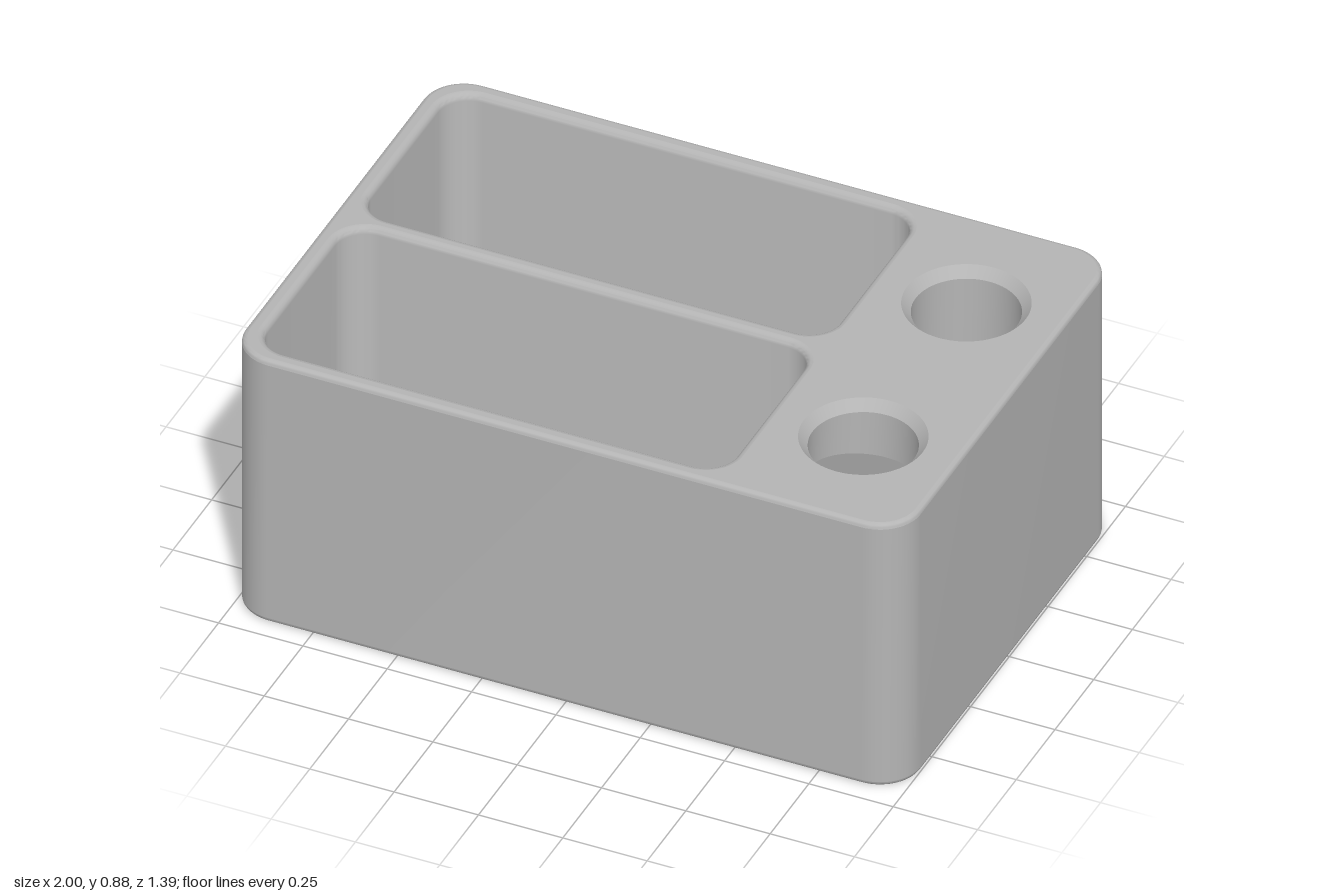
import * as THREE from 'three';
import { toCreasedNormals } from 'three/addons/utils/BufferGeometryUtils.js';

const W = 1, D = 0.693, H = 0.875, R = 0.12, ARC = 16;
const BEVEL = 0.015;
const HOLE_X = 0.72, DRAIN_X = -0.25, LANE_Z = 0.333;

// Rounded rectangle seen from above, as [x, z] points
function roundedLoop(x0, x1, z0, z1, r, inset = 0) {
  const pts = [];
  const centres = [[x1 - r, z1 - r], [x0 + r, z1 - r], [x0 + r, z0 + r], [x1 - r, z0 + r]];
  centres.forEach(([cx, cz], k) => {
    for (let i = 0; i <= ARC; i++) {
      const a = (k + i / ARC) * Math.PI / 2;
      pts.push([cx + (r - inset) * Math.cos(a), cz + (r - inset) * Math.sin(a)]);
    }
  });
  return pts;
}

function circleLoop(cx, cz, r, n = 64) {
  return Array.from({ length: n }, (_, i) => {
    const a = i / n * Math.PI * 2;
    return [cx + r * Math.cos(a), cz + r * Math.sin(a)];
  });
}

// Surface through rows of equally many [x, y, z] points
function surface(rows, closed = false) {
  const n = rows[0].length, index = [];
  for (let r = 0; r < rows.length - 1; r++) {
    for (let c = 0; c < (closed ? n : n - 1); c++) {
      const a = r * n + c, b = r * n + (c + 1) % n;
      index.push(a, a + n, b, b, a + n, b + n);
    }
  }
  const g = new THREE.BufferGeometry();
  g.setAttribute('position', new THREE.Float32BufferAttribute(rows.flat(2), 3));
  g.setIndex(index);
  return toCreasedNormals(g, 0.6);
}

const atHeight = (loop, y) => loop.map(([x, z]) => [x, typeof y === 'function' ? y(z) : y, z]);
const toPath = (pts, C) => new C(pts.map(([a, b]) => new THREE.Vector2(a, b)));

// Horizontal (or tilted) plate with holes
function plate(outline, holes, y, up = true) {
  const shape = toPath(outline, THREE.Shape);
  shape.holes = holes.map((h) => toPath(h, THREE.Path));
  const g = new THREE.ShapeGeometry(shape);
  const p = g.attributes.position;
  for (let i = 0; i < p.count; i++) {
    const z = p.getY(i);
    p.setXYZ(i, p.getX(i), typeof y === 'function' ? y(z) : y, z);
  }
  if (up) g.index.array.reverse();
  g.computeVertexNormals();
  return g;
}

export function createModel() {
  const group = new THREE.Group();
  const grey = new THREE.MeshStandardMaterial({ color: 0xb4b4b4, side: THREE.DoubleSide });
  grey.name = 'plain grey';
  const add = (name, geometry) => {
    const m = new THREE.Mesh(geometry, grey);
    m.name = name;
    group.add(m);
  };
  const body = (inset) => roundedLoop(-W, W, -D, D, R, inset);
  const yLow = BEVEL, yHigh = H - BEVEL;

  // Rounded top and bottom edges
  const steps = [0, 0.25, 0.5, 0.75, 1].map((t) => t * Math.PI / 2);
  add('bottomEdge', surface(steps.map((a) =>
    atHeight(body(BEVEL * (1 - Math.sin(a))), BEVEL * (1 - Math.cos(a)))), true));
  add('topEdge', surface(steps.map((a) =>
    atHeight(body(BEVEL * (1 - Math.cos(a))), yHigh + BEVEL * Math.sin(a))), true));

  // Outlet columns across the back, running round the corner
  const loop = body(0), cut = 3 * (ARC + 1) + 10;
  const xa = loop[cut][0], xb = 0.47, mid = (xa + xb) / 2, half = (xa - xb) / 2;
  const outY0 = 0.018, outY1 = 0.585, outR = 0.11;
  const backZ = (x) => (x > W - R ? -(D - R) - Math.sqrt(R * R - (x - W + R) ** 2) : -D);
  const columns = Array.from({ length: 41 }, (_, i) => {
    const x = mid + half * Math.cos(i / 40 * Math.PI);
    const d = Math.min(xa - x, x - xb);
    const off = d < outR ? outR - Math.sqrt(Math.max(0, outR ** 2 - (outR - d) ** 2)) : 0;
    return { x, z: backZ(x), lo: outY0 + off, hi: outY1 - off };
  }).reverse();

  // Outer walls, with the outlet left open
  const around = [...loop.slice(cut), ...loop.slice(0, 3 * (ARC + 1)), [xb, -D]];
  add('outerWall', surface([atHeight(around, yLow), atHeight(around, yHigh)]));
  add('wallAboveOutlet', surface([
    columns.map((c) => [c.x, c.hi, c.z]), columns.map((c) => [c.x, yHigh, c.z])]));
  add('wallBelowOutlet', surface([
    columns.map((c) => [c.x, yLow, c.z]), columns.map((c) => [c.x, c.lo, c.z])]));

  // Flared outlet rim, from the outer wall in to the chute
  const inX0 = 0.54, inX1 = 0.94, inY0 = 0.09, inY1 = 0.515, inZ = -0.64;
  const rim = [...columns.map((c) => [c.x, c.hi, c.z]),
    ...columns.slice().reverse().map((c) => [c.x, c.lo, c.z])];
  const inner = rim.map(([x, y]) => [
    inX0 + (x - xb) / (xa - xb) * (inX1 - inX0),
    inY0 + (y - outY0) / (outY1 - outY0) * (inY1 - inY0)]);
  const flare = [];
  for (let k = 0; k <= 8; k++) {
    const a = k / 8 * Math.PI / 2, s = Math.sin(a), d = 1 - Math.cos(a);
    flare.push(rim.map(([x, y, z], i) => [
      x + (inner[i][0] - x) * s, y + (inner[i][1] - y) * s, z + (inZ - z) * d]));
  }
  add('outletRim', surface(flare, true));

  // Sloping chute behind the outlet
  const cx0 = 0.53, cx1 = 0.95, cz1 = 0.64;
  const floorY = (z) => 0.085 + 0.25 * (z - inZ);
  const ceilY = (z) => 0.53 + 0.21 * (z - inZ);
  const chute = [[cx0, inZ], [cx1, inZ], [cx1, cz1], [cx0, cz1]];
  const lanes = [-LANE_Z, LANE_Z];
  const ports = lanes.map((z) => circleLoop(HOLE_X, z, 0.15));
  add('chuteFloor', plate(chute, [], floorY));
  add('chuteCeiling', plate(chute, ports, ceilY, false));
  const sides = chute.slice(1);
  sides.push(chute[0]);
  add('chuteWalls', surface([atHeight(sides, ceilY), atHeight(sides, floorY)]));
  const endShape = toPath([[cx0, 0.085], [cx1, 0.085], [cx1, 0.53], [cx0, 0.53]], THREE.Shape);
  endShape.holes = [toPath(inner, THREE.Path)];
  add('chuteEnd', new THREE.ShapeGeometry(endShape).translate(0, 0, inZ));

  // Chamfered round loading ports
  lanes.forEach((z, i) => add('loadingPort', surface([
    atHeight(circleLoop(HOLE_X, z, 0.176), H),
    atHeight(ports[i], H - 0.03),
    atHeight(ports[i], ceilY)], true)));

  // Open bins with rounded rims, filleted floors and chamfered drain holes
  const floor = 0.045, fillet = 0.035, lip = 0.02;
  const binLoop = (z, inset) => roundedLoop(-0.965, 0.463, z - 0.326, z + 0.326, 0.11, inset);
  lanes.forEach((z) => {
    const rows = steps.map((a) =>
      atHeight(binLoop(z, lip * Math.sin(a)), H - lip * (1 - Math.cos(a))));
    steps.forEach((a) => rows.push(atHeight(
      binLoop(z, lip + fillet * (1 - Math.cos(a))), floor + fillet * (1 - Math.sin(a)))));
    add('binWall', surface(rows, true));
    const drain = circleLoop(DRAIN_X, z, 0.205);
    add('binFloor', plate(binLoop(z, lip + fillet), [drain], floor));
    add('drainHole', surface([
      atHeight(drain, floor), atHeight(circleLoop(DRAIN_X, z, 0.25), 0)], true));
  });

  // Top and bottom faces
  add('topFace', plate(body(BEVEL), [
    ...lanes.map((z) => binLoop(z, 0)),
    ...lanes.map((z) => circleLoop(HOLE_X, z, 0.176))], H));
  add('bottomFace', plate(body(BEVEL),
    lanes.map((z) => circleLoop(DRAIN_X, z, 0.25)), 0, false));

  return group;
}
